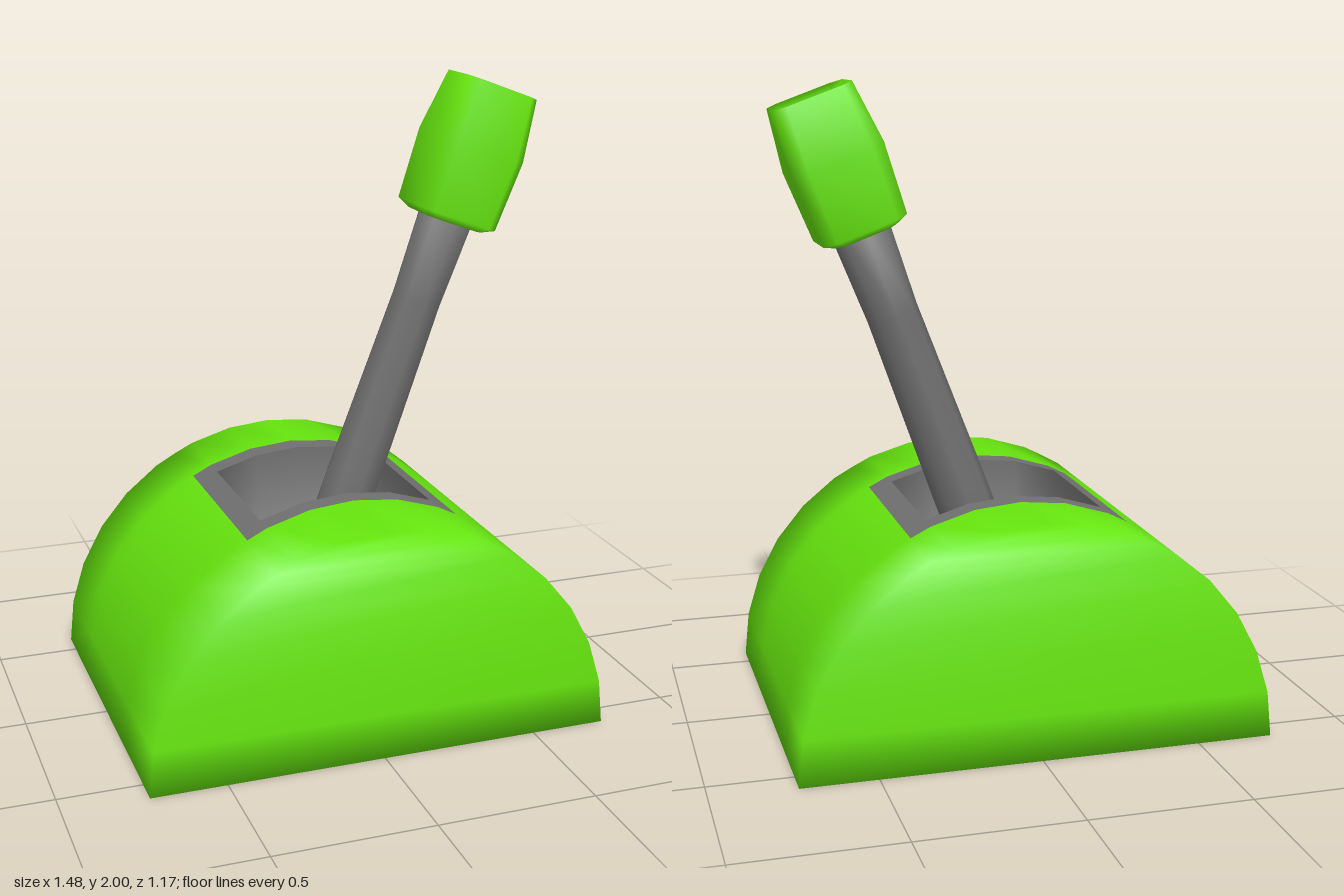
import * as THREE from 'three';

const green = new THREE.MeshStandardMaterial({ color: 0x66e50e });
const grey = new THREE.MeshStandardMaterial({ color: 0x707070 });

// Mesh from shared points and four-cornered faces, with smooth normals
function quadMesh(name, points, quads, material) {
  const g = new THREE.BufferGeometry();
  g.setAttribute('position', new THREE.Float32BufferAttribute(points.flat(), 3));
  g.setIndex(quads.flatMap(([a, b, c, d]) => [a, b, c, a, c, d]));
  g.computeVertexNormals();
  const m = new THREE.Mesh(g, material);
  m.name = name;
  return m;
}

// Half-round profile from -x over the top to +x, with extra points at the frame edge
const R = 0.738, FRAME_X = 0.345, FRAME_Y = 0.65;
const profile = [];
for (let i = 0; i <= 16; i++) {
  if (i === 6) profile.push([-FRAME_X, FRAME_Y]);
  if (i === 11) profile.push([FRAME_X, FRAME_Y]);
  const a = Math.PI * (1 - i / 16);
  profile.push([R * Math.cos(a), R * Math.sin(a)]);
}
const zs = [-0.585, -0.335, -0.26, 0.225, 0.295, 0.585];
const N = profile.length, K = zs.length;

// Base shell and the flush frame around the opening
function buildBase() {
  const points = profile.flatMap(([x, y]) => zs.map(z => [x, y, z]));
  const v = (i, k) => i * K + k;
  const shell = [], frame = [];
  for (let i = 0; i < N - 1; i++) {
    for (let k = 0; k < K - 1; k++) {
      if (i >= 7 && i <= 10 && k === 2) continue;
      const inFrame = i >= 6 && i <= 11 && k >= 1 && k <= 3;
      (inFrame ? frame : shell).push([v(i, k), v(i, k + 1), v(i + 1, k + 1), v(i + 1, k)]);
    }
  }
  // underside
  for (let k = 0; k < K - 1; k++) {
    shell.push([v(0, k), v(N - 1, k), v(N - 1, k + 1), v(0, k + 1)]);
  }
  // end walls in level bands
  for (let i = 0; i < (N - 1) / 2; i++) {
    const m = N - 1 - i, f = K - 1;
    shell.push([v(i, f), v(m, f), v(m - 1, f), v(i + 1, f)]);
    shell.push([v(i + 1, 0), v(m - 1, 0), v(m, 0), v(i, 0)]);
  }
  return [
    quadMesh('baseShell', points, shell, green),
    quadMesh('slotFrame', points, frame, grey),
  ];
}

// Sunken well inside the frame
function buildWell() {
  const floor = 0.35, [zb, zf] = [zs[2], zs[3]];
  const rim = profile.slice(7, 12);
  const points = rim.flatMap(([x, y]) => [[x, y, zb], [x, floor, zb], [x, floor, zf], [x, y, zf]]);
  const quads = [];
  for (let i = 0; i < rim.length - 1; i++) {
    for (let j = 0; j < 3; j++) {
      const a = i * 4 + j;
      quads.push([a, a + 1, a + 5, a + 4]);
    }
  }
  const e = (rim.length - 1) * 4;
  quads.push([3, 2, 1, 0], [e, e + 1, e + 2, e + 3]);
  return quadMesh('slotWell', points, quads, grey);
}

// Grip: chamfered square sections stacked along the lever, with a dished top
function buildGrip() {
  // height, half width, half depth, corner chamfer
  const sections = [
    [1.285, 0.10, 0.10, 0.03],
    [1.305, 0.138, 0.13, 0.04],
    [1.535, 0.149, 0.136, 0.045],
    [1.735, 0.125, 0.114, 0.035],
    [1.705, 0.08, 0.075, 0.02],
  ];
  const points = [], quads = [];
  sections.forEach(([y, w, d, c], s) => {
    const ring = [[w, d - c], [w - c, d], [c - w, d], [-w, d - c],
      [-w, c - d], [c - w, -d], [w - c, -d], [w, c - d]];
    ring.forEach(([x, z], i) => {
      points.push([x, y, z]);
      if (s === 0) return;
      const a = (s - 1) * 8 + i, b = (s - 1) * 8 + (i + 1) % 8;
      quads.push([a, a + 8, b + 8, b]);
    });
  });
  // end faces
  const t = (sections.length - 1) * 8;
  for (const [a, b, c, d] of [[0, 1, 2, 3], [0, 3, 4, 7], [7, 4, 5, 6]]) {
    quads.push([a, b, c, d], [t + d, t + c, t + b, t + a]);
  }
  return quadMesh('grip', points, quads, green);
}

// Eight-sided rod with a slight waist
function buildRod() {
  const outline = [[0, -0.03], [0.093, -0.03], [0.092, 0.4], [0.083, 1.018], [0.093, 1.3], [0, 1.3]];
  const g = new THREE.LatheGeometry(outline.map(([r, y]) => new THREE.Vector2(r, y)), 8);
  const rod = new THREE.Mesh(g, grey);
  rod.name = 'rod';
  return rod;
}

export function createModel() {
  const model = new THREE.Group();
  model.name = 'leverSwitch';
  model.add(...buildBase(), buildWell());

  // Tilted lever
  const lever = new THREE.Group();
  lever.name = 'lever';
  lever.add(buildRod(), buildGrip());
  lever.position.set(-0.03, 0.33, -0.01);
  lever.rotation.z = -0.354;
  model.add(lever);
  return model;
}
